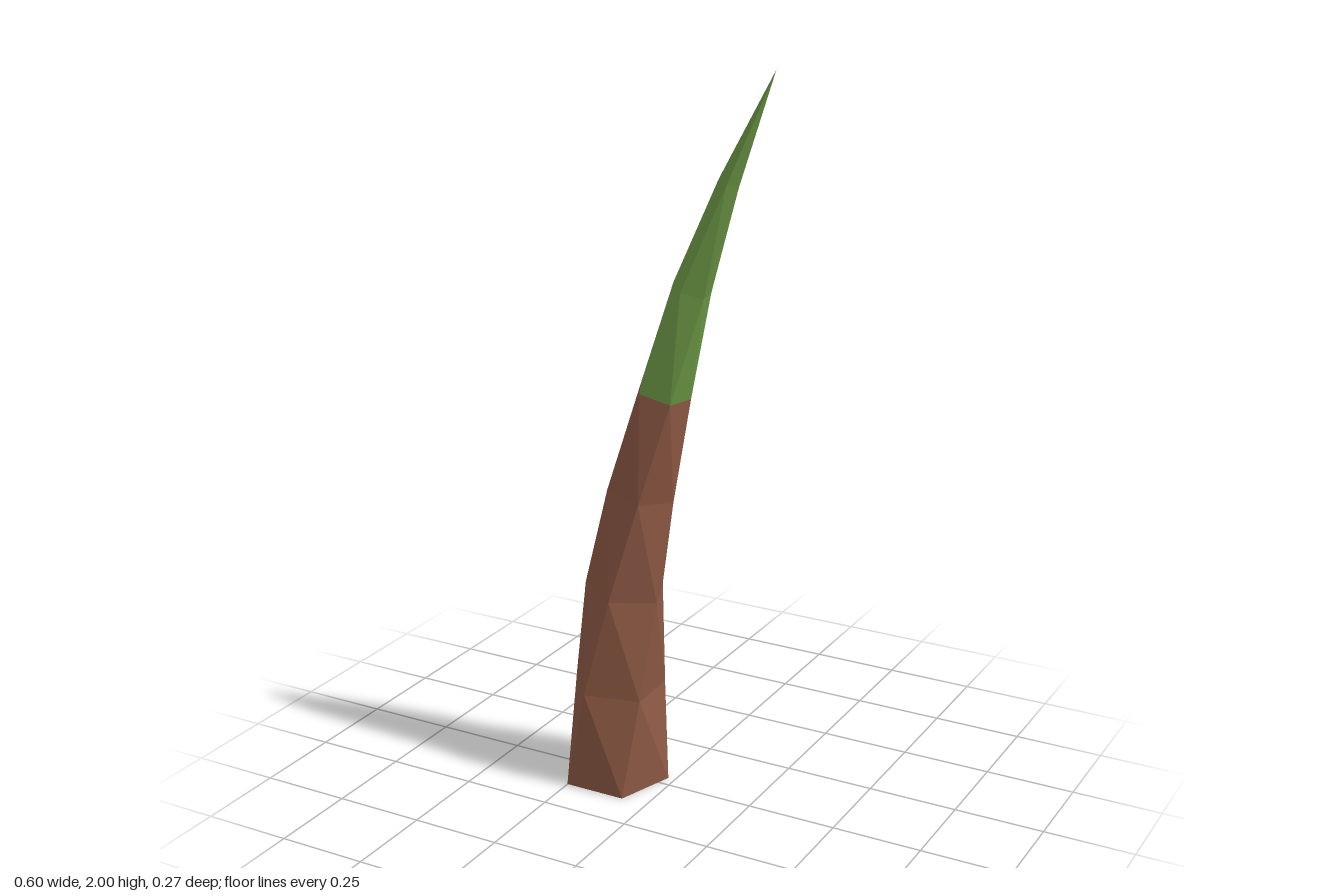
import * as THREE from 'three';

const SIDES = 5;
const SEGMENTS = 7;
const RADII = [0.149, 0.131, 0.113, 0.094, 0.075, 0.053, 0.029, 0];

// One five-sided section, twisted and tilted square to the curved spine
function ringPoint(k, j) {
  const t = k / SEGMENTS;
  const angle = THREE.MathUtils.degToRad(-90 + j * (360 / SIDES) - 20 * k);
  const tilt = Math.atan(0.463 * t);
  const out = RADII[k] * Math.cos(angle);
  return new THREE.Vector3(
    -0.163 + 0.463 * t * t + out * Math.cos(tilt),
    2 * t - out * Math.sin(tilt),
    0.01 + RADII[k] * Math.sin(angle)
  );
}

// Faceted skin between two sections, optionally closed underneath
function buildSection(from, to, closeBottom) {
  const points = [];
  for (let j = 0; j < SIDES; j++) {
    for (let k = from; k < to; k++) {
      const a = ringPoint(k, j);
      const b = ringPoint(k, j + 1);
      const aUp = ringPoint(k + 1, j);
      const bUp = ringPoint(k + 1, j + 1);
      points.push(a, bUp, b);
      if (RADII[k + 1] > 0) points.push(a, aUp, bUp);
    }
    if (closeBottom) {
      points.push(new THREE.Vector3(-0.163, 0, 0.01), ringPoint(from, j), ringPoint(from, j + 1));
    }
  }
  const geometry = new THREE.BufferGeometry().setFromPoints(points);
  geometry.computeVertexNormals();
  return geometry;
}

export function createModel() {
  const brown = new THREE.MeshStandardMaterial({ color: 0x8f5a45 });
  brown.name = 'brown';
  const green = new THREE.MeshStandardMaterial({ color: 0x6f9c48 });
  green.name = 'green';

  const group = new THREE.Group();
  group.name = 'twistedSpike';

  // Brown lower stalk
  const stalk = new THREE.Mesh(buildSection(0, 4, true), brown);
  stalk.name = 'stalk';

  // Green pointed end
  const tip = new THREE.Mesh(buildSection(4, SEGMENTS, false), green);
  tip.name = 'tip';

  group.add(stalk, tip);
  return group;
}
